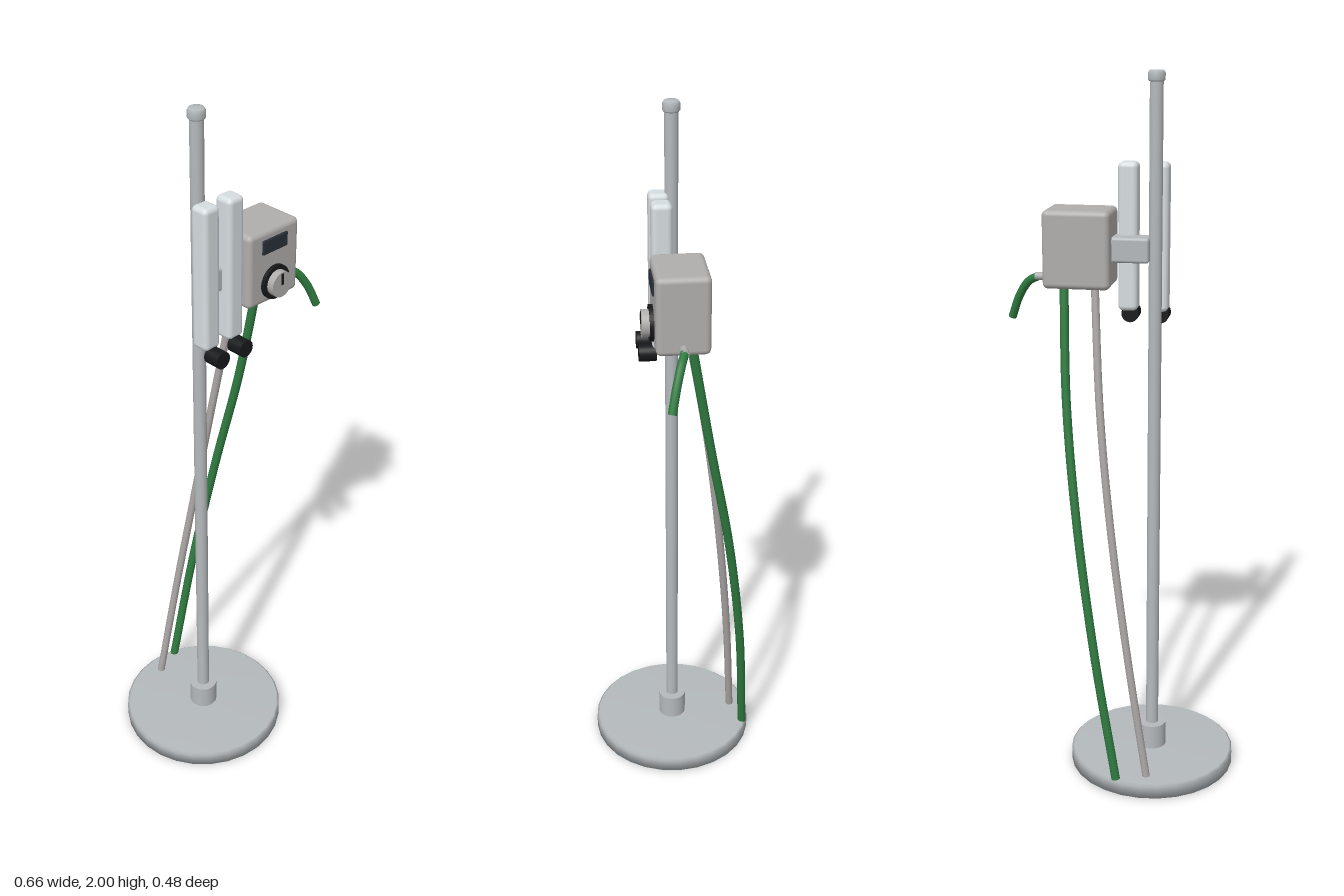
import * as THREE from 'three';
import { RoundedBoxGeometry } from 'three/addons/geometries/RoundedBoxGeometry.js';

const mat = (color) => new THREE.MeshStandardMaterial({ color });
const MAT = {
  metal: mat(0xb4b9bc), white: mat(0xd6dde0), casing: mat(0xb0aeac),
  hose: mat(0xaaa6a5), green: mat(0x2f7a40), black: mat(0x17181a), screen: mat(0x2a3038),
};

export function createModel() {
  const model = new THREE.Group();
  model.name = 'poleMountedUnit';
  const poleX = -0.092;

  function add(name, geometry, material, x = 0, y = 0, z = 0) {
    const mesh = new THREE.Mesh(geometry, material);
    mesh.name = name;
    mesh.position.set(x, y, z);
    model.add(mesh);
    return mesh;
  }
  const lathe = (points, sides) =>
    new THREE.LatheGeometry(points.map(([r, y]) => new THREE.Vector2(r, y)), sides);
  const rod = (r, length) => new THREE.CylinderGeometry(r, r, length, 32);
  const block = (w, h, d, r) => new RoundedBoxGeometry(w, h, d, 4, r);

  // Cylinder lying along z, from z0 to z1
  function rodZ(name, r, x, y, z0, z1, material) {
    add(name, rod(r, z1 - z0).rotateX(Math.PI / 2), material, x, y, (z0 + z1) / 2);
  }
  // Round hose through a few points, with closed ends
  function hose(name, points, r, material) {
    const pts = points.map((p) => new THREE.Vector3(...p));
    const curve = new THREE.CatmullRomCurve3(pts);
    add(name, new THREE.TubeGeometry(curve, 40, r, 14), material);
    for (const t of [0, 1]) {
      const end = add(name + 'End', new THREE.CircleGeometry(r, 14), material);
      end.position.copy(curve.getPoint(t));
      const out = curve.getTangent(t).multiplyScalar(t ? 1 : -1);
      end.quaternion.setFromUnitVectors(new THREE.Vector3(0, 0, 1), out);
    }
  }

  // Stand: disc base, collar, pole and cap
  add('base', lathe([[0, 0], [0.24, 0], [0.24, 0.036], [0.233, 0.042], [0, 0.045]], 28), MAT.metal, poleX);
  add('collar', rod(0.041, 0.08), MAT.metal, poleX, 0.077, 0);
  add('pole', rod(0.018, 1.95), MAT.metal, poleX, 1.015, 0);
  add('poleCap', lathe([[0, -0.014], [0.02, -0.014], [0.023, -0.01], [0.023, 0.007], [0.019, 0.014], [0, 0.014]], 28),
    MAT.metal, poleX, 1.986, 0);

  // Clamp block from the pole to the control box
  add('clampArm', block(0.106, 0.068, 0.07, 0.008), MAT.metal, -0.026, 1.535, -0.002);

  // Twin flow tubes with black valve knobs at the foot
  for (const x of [-0.098, -0.014]) {
    add('flowTube', block(0.054, 0.402, 0.055, 0.014), MAT.white, x, 1.562, 0.034);
    rodZ('valveKnob', 0.024, x, 1.345, 0.05, 0.097, MAT.black);
  }

  // Control box with display and dial
  add('controlBox', block(0.184, 0.211, 0.141, 0.015), MAT.casing, 0.114, 1.536, -0.001);
  add('display', block(0.09, 0.04, 0.012, 0.003), MAT.screen, 0.113, 1.598, 0.069);
  rodZ('dialRing', 0.048, 0.114, 1.488, 0.065, 0.08, MAT.black);
  rodZ('dial', 0.036, 0.114, 1.488, 0.078, 0.1, MAT.casing);
  add('dialPointer', new THREE.BoxGeometry(0.008, 0.032, 0.004), MAT.black, 0.114, 1.504, 0.1);

  // Outlet on the side with a short drooping hose
  add('outlet', rod(0.011, 0.05).rotateZ(Math.PI / 2), MAT.casing, 0.215, 1.452, 0);
  hose('outletHose', [[0.23, 1.453, 0], [0.262, 1.435, 0.012], [0.293, 1.39, 0.027], [0.318, 1.327, 0.041]], 0.0115, MAT.green);

  // Supply hoses from under the box down to the base
  hose('greyHose', [[0.07, 1.45, -0.025], [0.046, 1.1, -0.085], [0.008, 0.76, -0.128],
    [-0.045, 0.4, -0.163], [-0.104, 0.04, -0.187]], 0.011, MAT.hose);
  hose('greenHose', [[0.155, 1.45, -0.025], [0.14, 1.12, -0.082], [0.102, 0.79, -0.143],
    [0.046, 0.42, -0.19], [-0.02, 0.04, -0.215]], 0.0125, MAT.green);

  return model;
}
